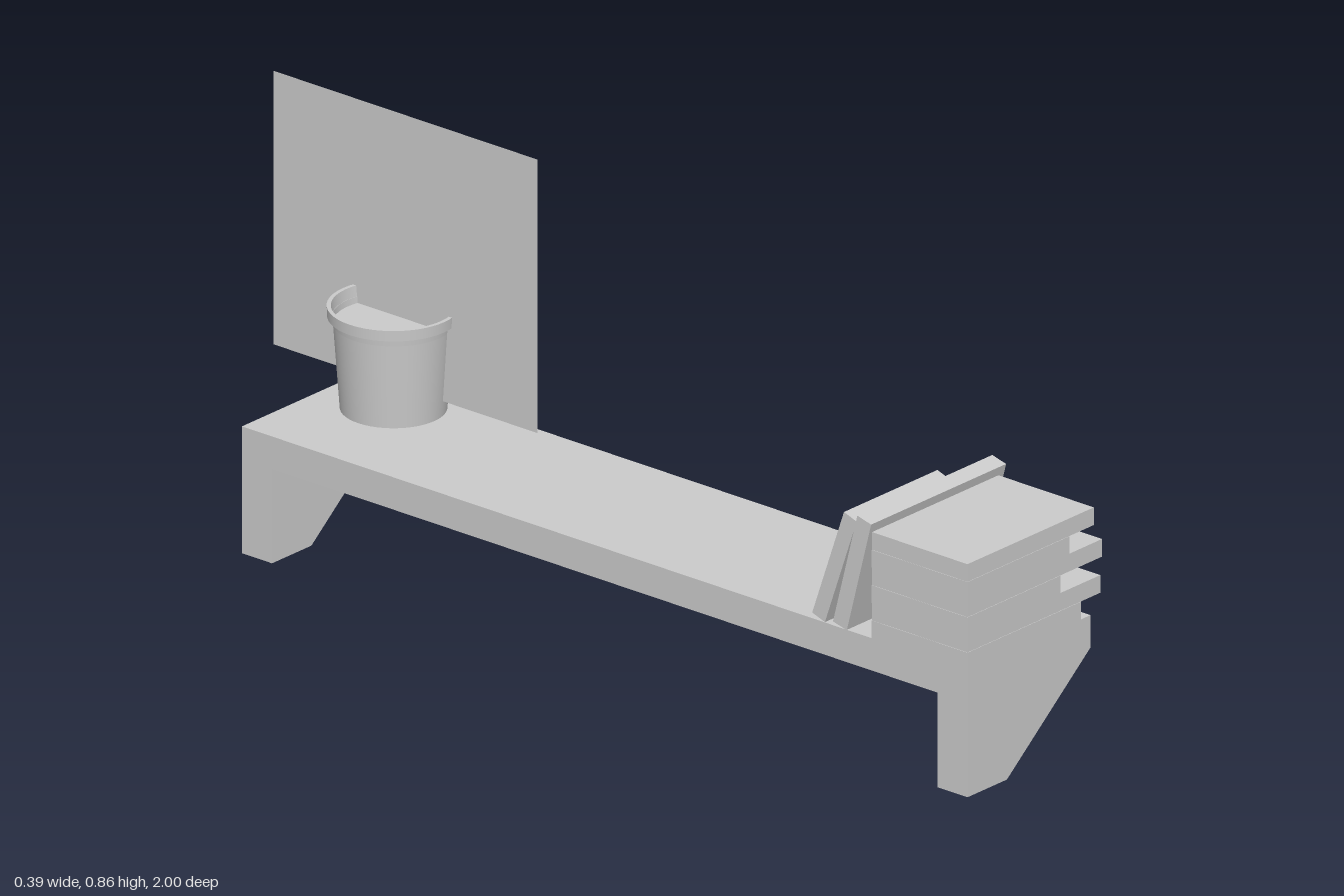
import * as THREE from 'three';

const material = new THREE.MeshStandardMaterial({ color: 0xcccccc });
const doubleSided = new THREE.MeshStandardMaterial({ color: 0xcccccc, side: THREE.DoubleSide });

function add(parent, name, geometry, mat = material) {
  const mesh = new THREE.Mesh(geometry, mat);
  mesh.name = name;
  parent.add(mesh);
  return mesh;
}

// Box given by its lower and upper corners
function boxBetween(parent, name, [x0, y0, z0], [x1, y1, z1]) {
  const mesh = add(parent, name, new THREE.BoxGeometry(x1 - x0, y1 - y0, z1 - z0));
  mesh.position.set((x0 + x1) / 2, (y0 + y1) / 2, (z0 + z1) / 2);
  return mesh;
}

export function createModel() {
  const model = new THREE.Group();
  model.name = 'wallShelf';
  const back = -0.197, shelfBottom = 0.196, shelfTop = 0.263;

  // Shelf board
  boxBetween(model, 'shelfBoard', [back, shelfBottom, -0.832], [0.162, shelfTop, 1]);

  // Slanted brackets under both ends
  const profile = new THREE.Shape([
    new THREE.Vector2(back, 0), new THREE.Vector2(-0.082, 0),
    new THREE.Vector2(0.162, shelfBottom), new THREE.Vector2(back, shelfBottom),
  ]);
  for (const z of [0.924, -0.832]) {
    const geometry = new THREE.ExtrudeGeometry(profile, { depth: 0.076, bevelEnabled: false });
    add(model, 'bracket', geometry).position.z = z;
  }

  // Stack of books lying flat, bottom to top, with differing widths
  const stack = new THREE.Group();
  stack.name = 'bookStack';
  model.add(stack);
  const thickness = 0.0366;
  [0.134, 0.192, 0.075, 0.197, 0.1, 0.173].forEach((right, i) => {
    const y = shelfTop + i * thickness;
    const inset = (i % 2) * 0.001;
    boxBetween(stack, 'flatBook', [back + inset, y, 0.758], [right, y + thickness, 1 - inset]);
  });

  // Books leaning against the stack
  const leaning = [
    { right: 0.197, z: 0.7085, angle: 0.255, thick: 0.036 },
    { right: 0.076, z: 0.664, angle: 0.335, thick: 0.034 },
  ];
  for (const { right, z, angle, thick } of leaning) {
    const book = add(model, 'leaningBook', new THREE.BoxGeometry(right - back, 0.244, thick));
    book.position.set((back + right) / 2, 0.3845, z);
    book.rotation.x = angle;
  }

  // Plant pot: tapered wall, rim band and soil
  const pot = new THREE.Group();
  pot.name = 'plantPot';
  pot.position.set(0.063, shelfTop, -0.674);
  model.add(pot);
  const lathe = (points) =>
    new THREE.LatheGeometry(points.map(([r, y]) => new THREE.Vector2(r, y)), 48);
  add(pot, 'potWall', lathe([[0.103, 0], [0.117, 0.19]]), doubleSided);
  const rim = [[0.117, 0.19], [0.127, 0.19], [0.128, 0.212], [0.12, 0.212], [0.116, 0.175]];
  // Separate strips keep the rim edges sharp
  for (let i = 0; i < rim.length - 1; i++) {
    add(pot, 'potRim', lathe([rim[i], rim[i + 1]]), doubleSided);
  }
  for (const [name, r, y, turn] of [['potBase', 0.103, 0.001, 1], ['soil', 0.116, 0.177, -1]]) {
    const disc = add(pot, name, new THREE.CircleGeometry(r, 48));
    disc.rotation.x = turn * Math.PI / 2;
    disc.position.y = y;
  }

  // Flat foliage card standing in the pot, just in front of its middle
  const card = add(model, 'foliageCard', new THREE.PlaneGeometry(0.667, 0.567), doubleSided);
  card.rotation.y = Math.PI / 2;
  card.position.set(0.089, 0.579, -0.6665);

  return model;
}
